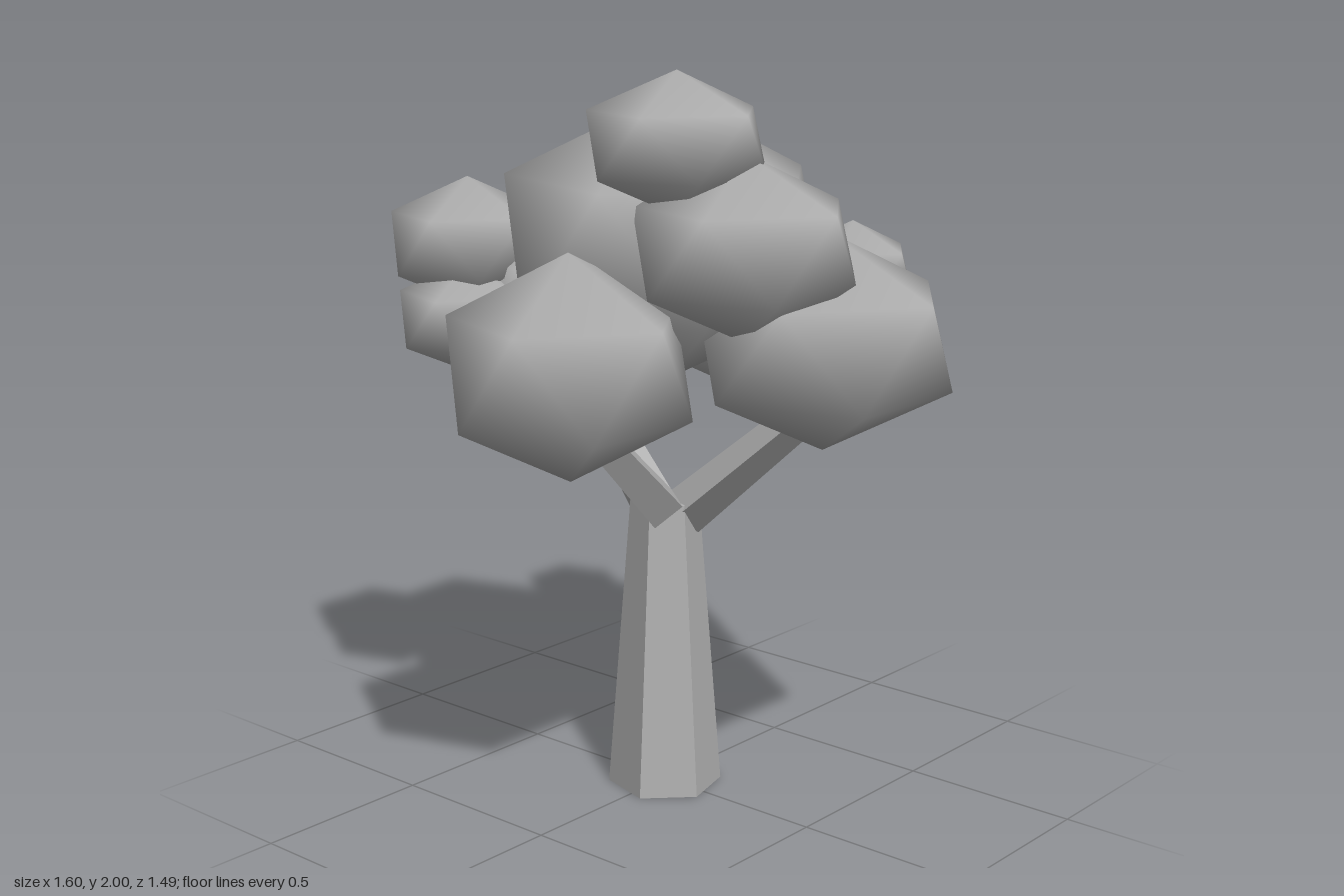
import * as THREE from 'three';

const grey = new THREE.MeshStandardMaterial({ color: 0xb0b0b0 });
grey.name = 'plain grey';
const greyFaceted = grey.clone();
greyFaceted.flatShading = true;
greyFaceted.name = 'plain grey faceted';

// Twelve-point blob: a pole at each end and two staggered rings of five, smooth normals
function blobGeometry(ringRadius, halfHeight) {
  const points = [0, halfHeight, 0];
  for (const [y, offset] of [[0.447, 0], [-0.447, 0.5]]) {
    for (let i = 0; i < 5; i++) {
      const a = ((i + offset) / 5) * Math.PI * 2;
      points.push(ringRadius * Math.cos(a), y * halfHeight, ringRadius * Math.sin(a));
    }
  }
  points.push(0, -halfHeight, 0);
  const faces = [];
  for (let i = 0; i < 5; i++) {
    const j = (i + 1) % 5;
    const u0 = 1 + i, u1 = 1 + j, l0 = 6 + i, l1 = 6 + j;
    faces.push(0, u1, u0, u0, u1, l0, l0, u1, l1, l0, l1, 11);
  }
  const g = new THREE.BufferGeometry();
  g.setAttribute('position', new THREE.Float32BufferAttribute(points, 3));
  g.setIndex(faces);
  g.computeVertexNormals();
  return g;
}

// Tapered four-sided limb between two points
function limb(from, to, r0, r1) {
  const a = new THREE.Vector3(...from), b = new THREE.Vector3(...to);
  const dir = b.clone().sub(a);
  const g = new THREE.CylinderGeometry(r1, r0, dir.length(), 4, 1);
  g.rotateY(Math.PI / 12);
  const mesh = new THREE.Mesh(g, greyFaceted);
  mesh.position.copy(a).add(b).multiplyScalar(0.5);
  mesh.quaternion.setFromUnitVectors(new THREE.Vector3(0, 1, 0), dir.normalize());
  return mesh;
}

export function createModel() {
  const tree = new THREE.Group();
  tree.name = 'tree';

  // Six-sided tapered trunk
  const trunk = new THREE.Mesh(
    new THREE.CylinderGeometry(0.094, 0.157, 0.82, 6, 1, false, Math.PI / 12), greyFaceted);
  trunk.position.y = 0.41;
  trunk.name = 'trunk';
  tree.add(trunk);

  // Three branches reaching into the leaf clumps
  const branches = [
    ['leftBranch', [0.04, 0.78, -0.03], [0.45, 1.14, -0.09]],
    ['rightBranch', [-0.04, 0.78, -0.01], [-0.45, 1.14, -0.11]],
    ['frontBranch', [0.02, 0.79, 0.02], [0.06, 1.14, 0.41]],
  ];
  for (const [name, from, to] of branches) {
    const branch = limb(from, to, 0.068, 0.048);
    branch.name = name;
    tree.add(branch);
  }

  // Leaf clumps: name, centre, ring radius, half height
  const clumps = [
    ['crownClump', 0, 1.53, -0.005, 0.43, 0.38],
    ['frontClump', 0.07, 1.263, 0.445, 0.31, 0.293],
    ['rightClump', -0.45, 1.305, -0.11, 0.33, 0.288],
    ['leftClump', 0.47, 1.305, -0.08, 0.33, 0.286],
    ['backClump', -0.075, 1.303, -0.455, 0.31, 0.278],
    ['upperLeftClump', 0.4, 1.565, 0.16, 0.28, 0.235],
    ['topClump', 0.255, 1.822, 0.25, 0.223, 0.178],
    ['upperRightClump', -0.585, 1.485, 0.155, 0.215, 0.18],
    ['lowerRightClump', -0.52, 1.29, 0.22, 0.192, 0.157],
    ['backRightClump', -0.295, 1.515, -0.525, 0.155, 0.138],
    ['backLeftClump', 0.35, 1.44, -0.36, 0.16, 0.135],
  ];
  const foliage = new THREE.Group();
  foliage.name = 'foliage';
  for (const [name, x, y, z, ring, half] of clumps) {
    const clump = new THREE.Mesh(blobGeometry(ring, half), grey);
    clump.position.set(x, y, z);
    clump.name = name;
    foliage.add(clump);
  }
  tree.add(foliage);
  return tree;
}
